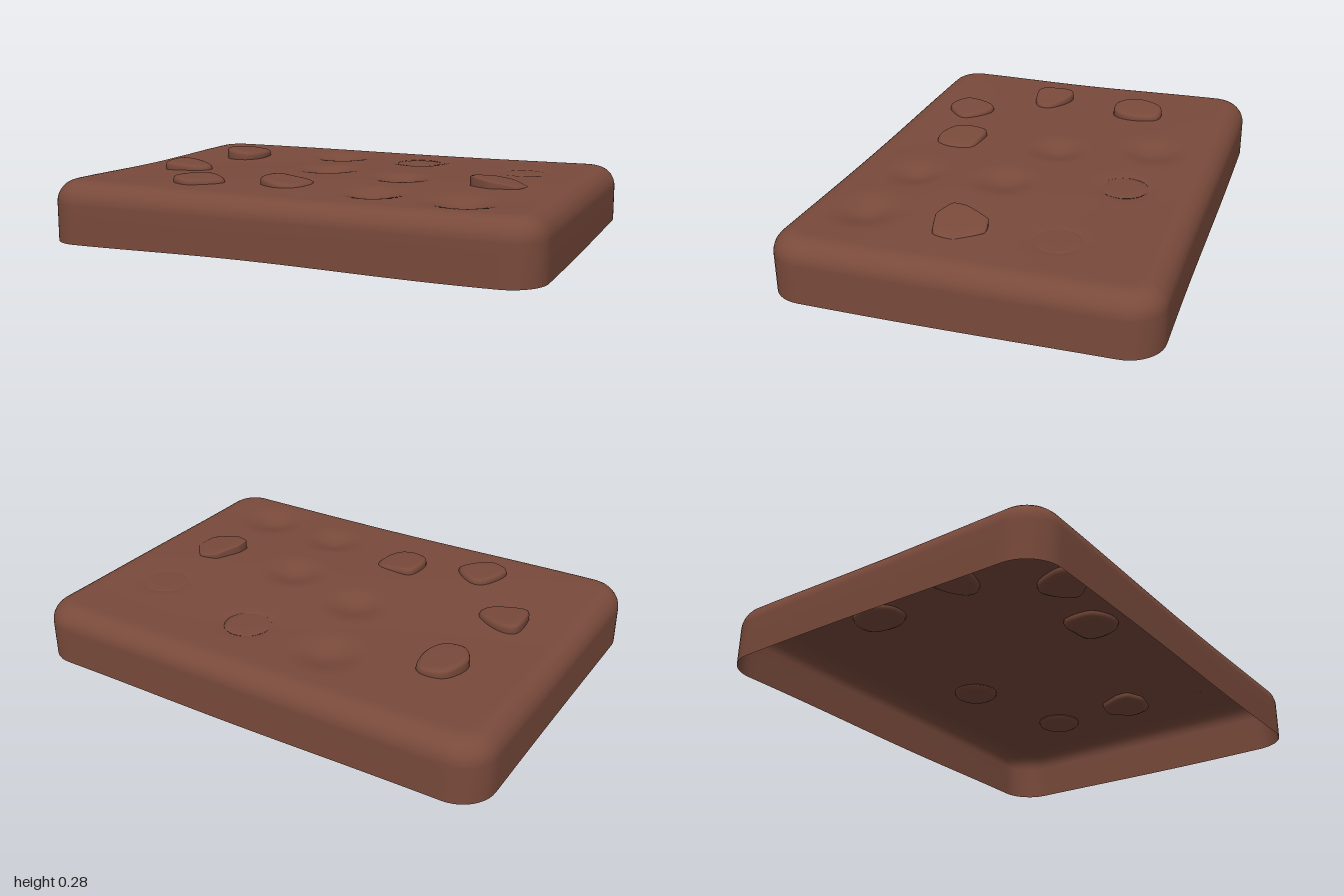
import * as THREE from 'three';

const chocolate = new THREE.MeshStandardMaterial({ color: 0x794a3b, side: THREE.DoubleSide });
chocolate.name = 'chocolate brown';

// Smooth skin over closed rings of equal length, listed from the bottom up
function loft(rings) {
  const n = rings[0].length, index = [];
  for (let i = 0; i < rings.length - 1; i++) {
    for (let j = 0; j < n; j++) {
      const a = i * n + j, b = i * n + (j + 1) % n;
      index.push(a, a + n, b, b, a + n, b + n);
    }
  }
  const geo = new THREE.BufferGeometry();
  geo.setAttribute('position', new THREE.Float32BufferAttribute(rings.flat(2), 3));
  geo.setIndex(index);
  geo.computeVertexNormals();
  return geo;
}

// Hollows in the top: x, z, radius, depth
const dents = [
  [-0.22, -0.44, 0.16, 0.025], [-0.11, -0.05, 0.15, 0.025], [0.26, 0.06, 0.15, 0.025],
  [0.29, 0.43, 0.14, 0.025], [0.66, 0.47, 0.16, 0.028],
  [0.17, -0.41, 0.14, 0.016], [0.68, -0.29, 0.13, 0.012],
];

// Gently wavy top with soft hollows
function topOffset(x, z) {
  let y = 0.003 * Math.sin(3 * x + 1) * Math.cos(4 * z) + 0.002 * Math.sin(6 * z + 2 * x);
  for (const [dx, dz, r, depth] of dents) {
    const d = Math.hypot(x - dx, z - dz) / r;
    if (d < 1) y -= depth * (0.5 + 0.5 * Math.cos(Math.PI * d));
  }
  return y;
}

function slabGeometry() {
  const W = 1, D = 0.735, R = 0.14, TOP = 0.241, B = 0.085;
  // Outline as corner centres plus outward directions, so it can be inset
  const outline = [];
  const corners = [[1, 1], [-1, 1], [-1, -1], [1, -1]].map(([x, z]) => [x * (W - R), z * (D - R)]);
  corners.forEach((c, k) => {
    const next = corners[(k + 1) % 4];
    for (let i = 0; i <= 10; i++) {
      const a = (k + i / 10) * Math.PI / 2;
      outline.push([c[0], c[1], Math.cos(a), Math.sin(a)]);
    }
    for (let i = 1; i < 36; i++) {
      const t = i / 36, a = (k + 1) * Math.PI / 2;
      outline.push([c[0] + (next[0] - c[0]) * t, c[1] + (next[1] - c[1]) * t, Math.cos(a), Math.sin(a)]);
    }
  });
  const ring = (inset, y, scale, wave) => outline.map(([cx, cz, nx, nz]) => {
    const x = (cx + nx * (R - inset)) * scale;
    const z = (cz + nz * (R - inset)) * scale * (1 - 0.008 * (0.5 + 0.5 * Math.sin(3.5 * x + (cz > 0 ? 1.2 : 0.3))));
    return [x, y + wave * topOffset(x, z), z];
  });
  const rings = [
    outline.map(([cx, cz, nx, nz], i) => {
      const p = ring(0, 0, 1, 0)[i];
      return [p[0], 0.004 + 0.004 * Math.sin(4 * p[0] + 3 * p[2]), p[2]];
    }),
    ring(0, 0.08, 1, 0),
  ];
  // Rounded upper edge
  for (let i = 0; i <= 8; i++) {
    const a = i / 8 * Math.PI / 2;
    rings.push(ring(B * (1 - Math.cos(a)), TOP - B + B * Math.sin(a), 1, i / 8));
  }
  // Top surface
  for (let i = 1; i <= 50; i++) rings.push(ring(B, TOP, 1 - i / 50, 1));
  return loft(rings);
}

// Chunk: outline points, top height, slopes along x and z, edge softness
function chunkGeometry({ points, top, slope = [0, 0], soft = 0.016, tension = 0.5 }) {
  const curve = new THREE.CatmullRomCurve3(
    points.map(([x, z]) => new THREE.Vector3(x, 0, z)), true, 'catmullrom', tension);
  const edge = curve.getSpacedPoints(40).slice(0, 40);
  const c = edge.reduce((s, p) => s.add(p), new THREE.Vector3()).divideScalar(40);
  const levels = [[0.0, 0.212, 0], [0.75, 0.212, 0], [0.95, 0.222, 0], [1, 0.236, 0],
    [1, top - soft, 1], [0.97, top - soft * 0.4, 1], [0.9, top - soft * 0.1, 1], [0.8, top, 1], [0.4, top, 1], [0, top, 1]];
  return loft(levels.map(([s, y, tilt]) => edge.map((p) => {
    const dx = (p.x - c.x) * s, dz = (p.z - c.z) * s;
    return [c.x + dx, y + tilt * (slope[0] * dx + slope[1] * dz), c.z + dz];
  })));
}

const disc = (x, z, r) => [0, 1, 2, 3, 4, 5, 6, 7].map((i) =>
  [x + r * Math.cos(i * Math.PI / 4), z + r * Math.sin(i * Math.PI / 4)]);

const chunks = [
  { points: [[-0.63, -0.39], [-0.56, -0.37], [-0.54, -0.26], [-0.58, -0.18], [-0.67, -0.18], [-0.72, -0.26], [-0.69, -0.36]],
    top: 0.274, slope: [-0.1, 0.03] },
  { points: [[-0.76, 0.07], [-0.68, 0.065], [-0.58, 0.13], [-0.6, 0.2], [-0.74, 0.23], [-0.77, 0.16]],
    top: 0.267, slope: [-0.1, 0] },
  { points: [[-0.49, 0.385], [-0.42, 0.37], [-0.33, 0.46], [-0.4, 0.55], [-0.46, 0.565], [-0.53, 0.51]],
    top: 0.265, slope: [-0.06, 0] },
  { points: [[-0.18, 0.3], [-0.1, 0.29], [-0.01, 0.31], [0, 0.4], [-0.04, 0.47], [-0.12, 0.475], [-0.19, 0.42]],
    top: 0.262, slope: [-0.12, 0] },
  { points: [[0.63, -0.01], [0.71, -0.025], [0.79, 0.07], [0.77, 0.155], [0.66, 0.185], [0.58, 0.15], [0.58, 0.09]],
    top: 0.264, slope: [-0.17, 0.06], soft: 0.006, tension: 0.15 },
  // Nearly buried, flush with the top
  { points: disc(0.17, -0.41, 0.095), top: 0.236, soft: 0.008 },
  { points: disc(0.68, -0.29, 0.095), top: 0.239, soft: 0.008 },
];

export function createModel() {
  const model = new THREE.Group();
  model.name = 'chocolateSlab';
  const add = (geometry, name) => {
    const mesh = new THREE.Mesh(geometry, chocolate);
    mesh.name = name;
    model.add(mesh);
  };
  add(slabGeometry(), 'slabShell');
  chunks.forEach((c, i) => add(chunkGeometry(c), `chunk${i + 1}`));
  return model;
}
